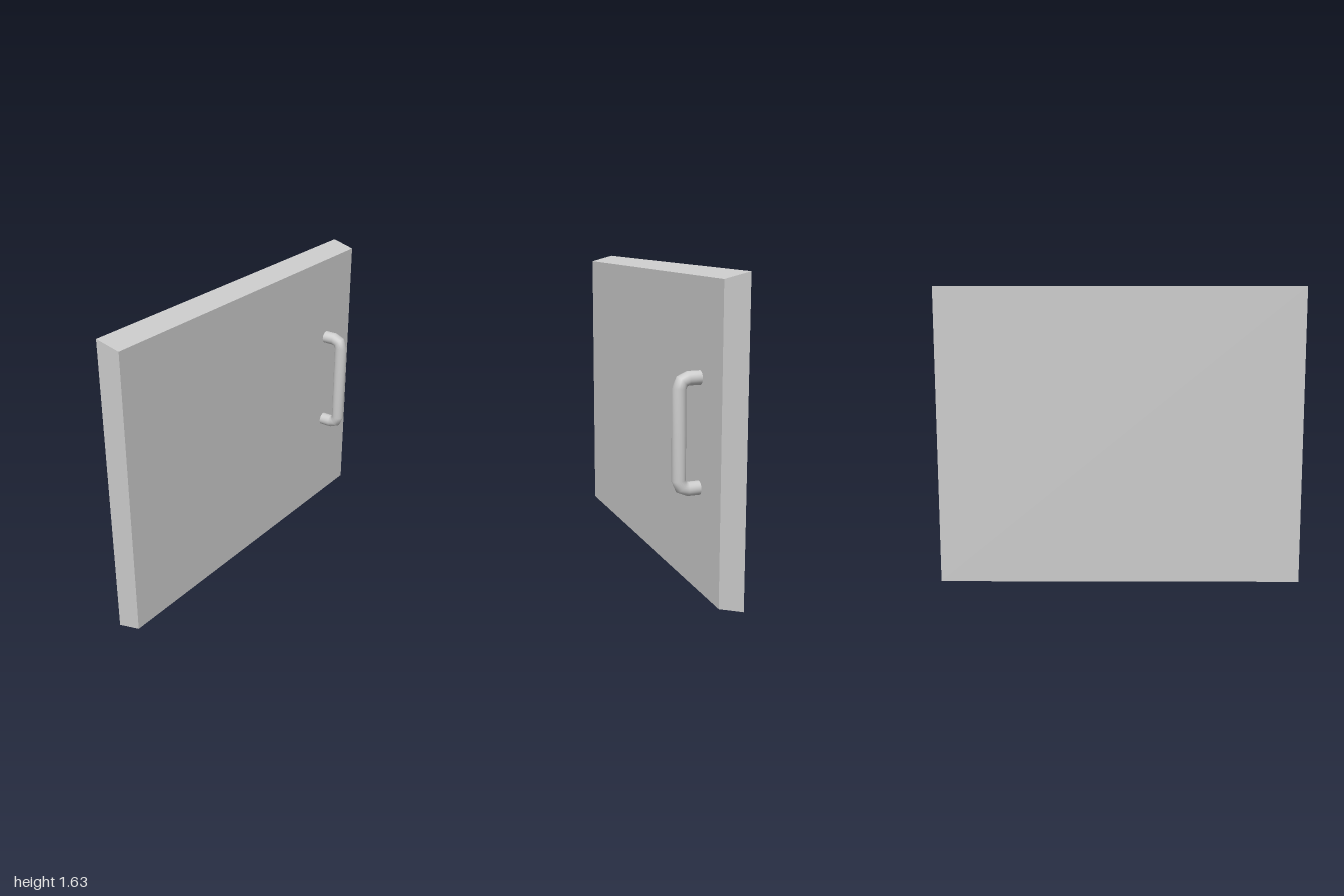
import * as THREE from 'three';

const material = new THREE.MeshStandardMaterial({ color: 0xcccccc, side: THREE.DoubleSide });

// Slab whose handle-side (+x) face is slightly smaller than its back face
function makePanel() {
  const height = 1.635;
  const geometry = new THREE.BoxGeometry(0.13, height, 2);
  const pos = geometry.attributes.position;
  for (let i = 0; i < pos.count; i++) {
    if (pos.getX(i) > 0) {
      pos.setY(i, pos.getY(i) * (1.57 / height));
      pos.setZ(i, pos.getZ(i) * 0.992);
    }
  }
  geometry.translate(-0.073, height / 2, 0);
  geometry.computeVertexNormals();
  const panel = new THREE.Mesh(geometry, material);
  panel.name = 'panel';
  return panel;
}

// Round bar swept along a faceted C; each ring is [x, y, outward angle in the xy plane]
function makeHandle() {
  const radius = 0.0355, sides = 20, halfSpan = 0.275;
  const upper = [
    [-0.02, halfSpan, Math.PI / 2],
    [0.053, halfSpan, Math.PI / 2 - 0.1],
    [0.085, halfSpan - 0.013, Math.PI / 4],
    [0.1, halfSpan - 0.048, 0.1],
  ];
  const lower = upper.map(([x, y, a]) => [x, -y, -a]).reverse();
  const rings = [...upper, [0.099, 0, 0], ...lower];

  const positions = [], index = [];
  rings.forEach(([x, y, angle], i) => {
    for (let j = 0; j < sides; j++) {
      const a = (j / sides) * Math.PI * 2;
      const out = radius * Math.cos(a);
      positions.push(x + out * Math.cos(angle), y + out * Math.sin(angle), radius * Math.sin(a));
      if (i < rings.length - 1) {
        const p = i * sides + j, q = i * sides + ((j + 1) % sides);
        index.push(p, q, p + sides, q, q + sides, p + sides);
      }
    }
  });
  const geometry = new THREE.BufferGeometry();
  geometry.setAttribute('position', new THREE.Float32BufferAttribute(positions, 3));
  geometry.setIndex(index);
  geometry.computeVertexNormals();
  const handle = new THREE.Mesh(geometry, material);
  handle.name = 'handle';
  handle.position.set(0, 0.843, -0.738);
  return handle;
}

export function createModel() {
  const group = new THREE.Group();
  group.name = 'cabinetDoor';
  group.add(makePanel(), makeHandle());
  return group;
}
